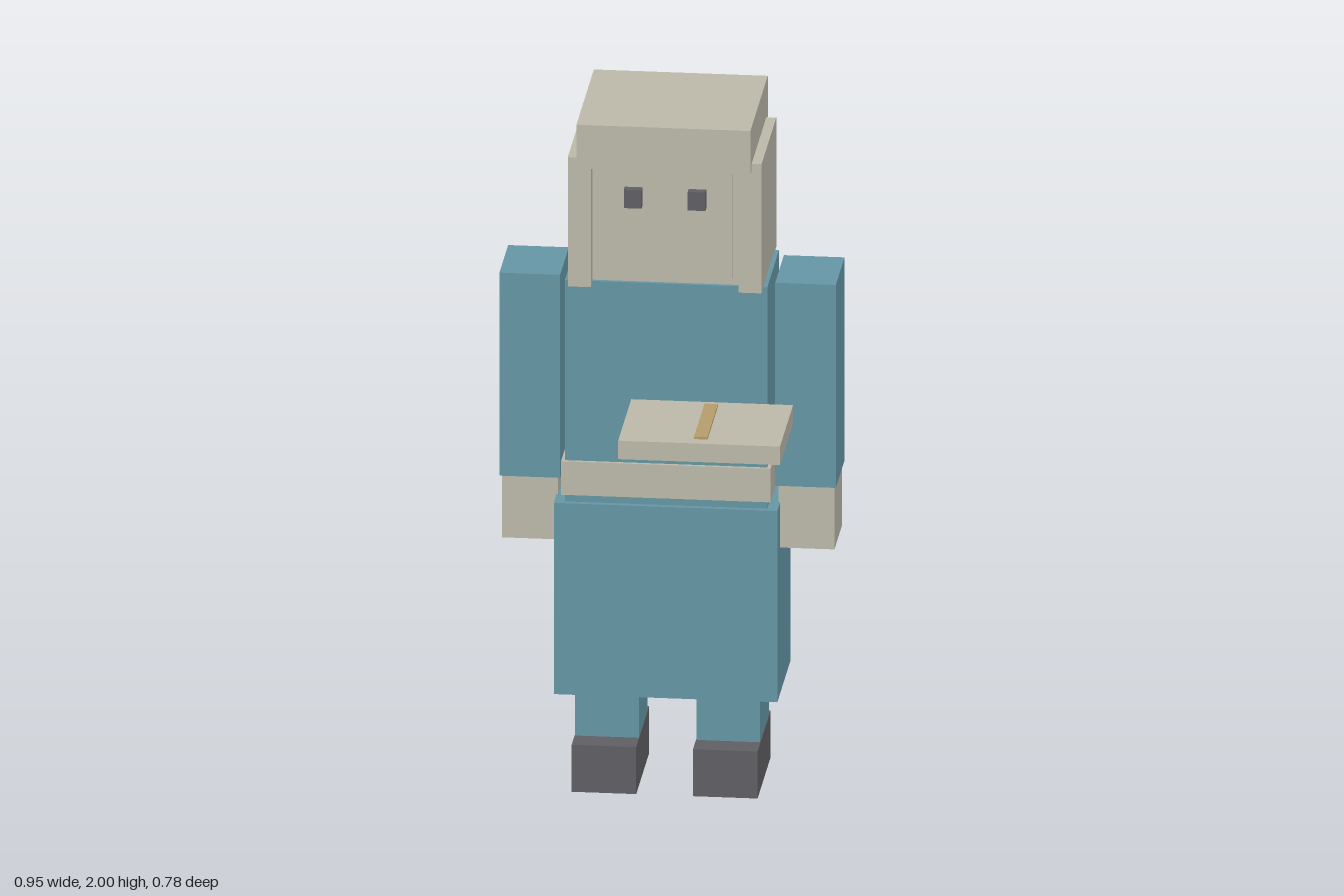
import * as THREE from 'three';

const material = (name, color) => {
  const m = new THREE.MeshStandardMaterial({ color });
  m.name = name;
  return m;
};

export function createModel() {
  const model = new THREE.Group();
  model.name = 'blockFigure';

  const teal = material('teal cloth', 0x6798a8);
  const cream = material('cream', 0xbebbac);
  const dark = material('dark grey', 0x616165);
  const gold = material('gold', 0xb79f6e);

  // Box given by its limits on each axis
  const block = (name, mat, [x0, x1], [y0, y1], [z0, z1]) => {
    const geometry = new THREE.BoxGeometry(x1 - x0, y1 - y0, z1 - z0);
    const mesh = new THREE.Mesh(geometry, mat);
    mesh.position.set((x0 + x1) / 2, (y0 + y1) / 2, (z0 + z1) / 2);
    mesh.name = name;
    model.add(mesh);
  };

  // The same box on both sides of the body
  const pair = (name, mat, [x0, x1], y, z) => {
    block(`${name}Left`, mat, [x0, x1], y, z);
    block(`${name}Right`, mat, [-x1, -x0], y, z);
  };

  // Feet and legs
  pair('boot', dark, [0.08, 0.262], [0, 0.14], [-0.305, 0.035]);
  pair('leg', teal, [0.081, 0.261], [0.14, 0.4], [-0.272, -0.042]);

  // Robe
  block('skirt', teal, [-0.315, 0.315], [0.28, 0.85], [-0.33, 0.01]);
  block('torso', teal, [-0.285, 0.285], [0.84, 1.51], [-0.313, -0.005]);
  block('belt', cream, [-0.295, 0.295], [0.873, 0.973], [-0.322, 0.005]);

  // Arms and hands
  pair('sleeve', teal, [0.303, 0.474], [0.905, 1.51], [-0.273, -0.045]);
  pair('hand', cream, [0.311, 0.468], [0.715, 0.905], [-0.255, -0.063]);

  // Head with face, surrounding hair and eyes
  block('head', cream, [-0.22, 0.22], [1.512, 1.88], [-0.34, -0.01]);
  block('face', cream, [-0.188, 0.188], [1.535, 1.88], [-0.02, 0.01]);
  pair('eye', dark, [0.065, 0.115], [1.745, 1.8], [0, 0.035]);
  pair('hairSide', cream, [0.208, 0.273], [1.505, 1.89], [-0.353, 0.033]);
  block('hairBack', cream, [-0.238, 0.238], [1.48, 1.88], [-0.382, -0.335]);
  block('hairTop', cream, [-0.245, 0.245], [1.87, 2], [-0.39, 0.067]);

  // Floating tablet with a marker strip
  block('tablet', cream, [-0.093, 0.363], [1.125, 1.18], [0.045, 0.388]);
  block('tabletStrip', gold, [0.117, 0.155], [1.179, 1.187], [0.078, 0.352]);

  return model;
}
